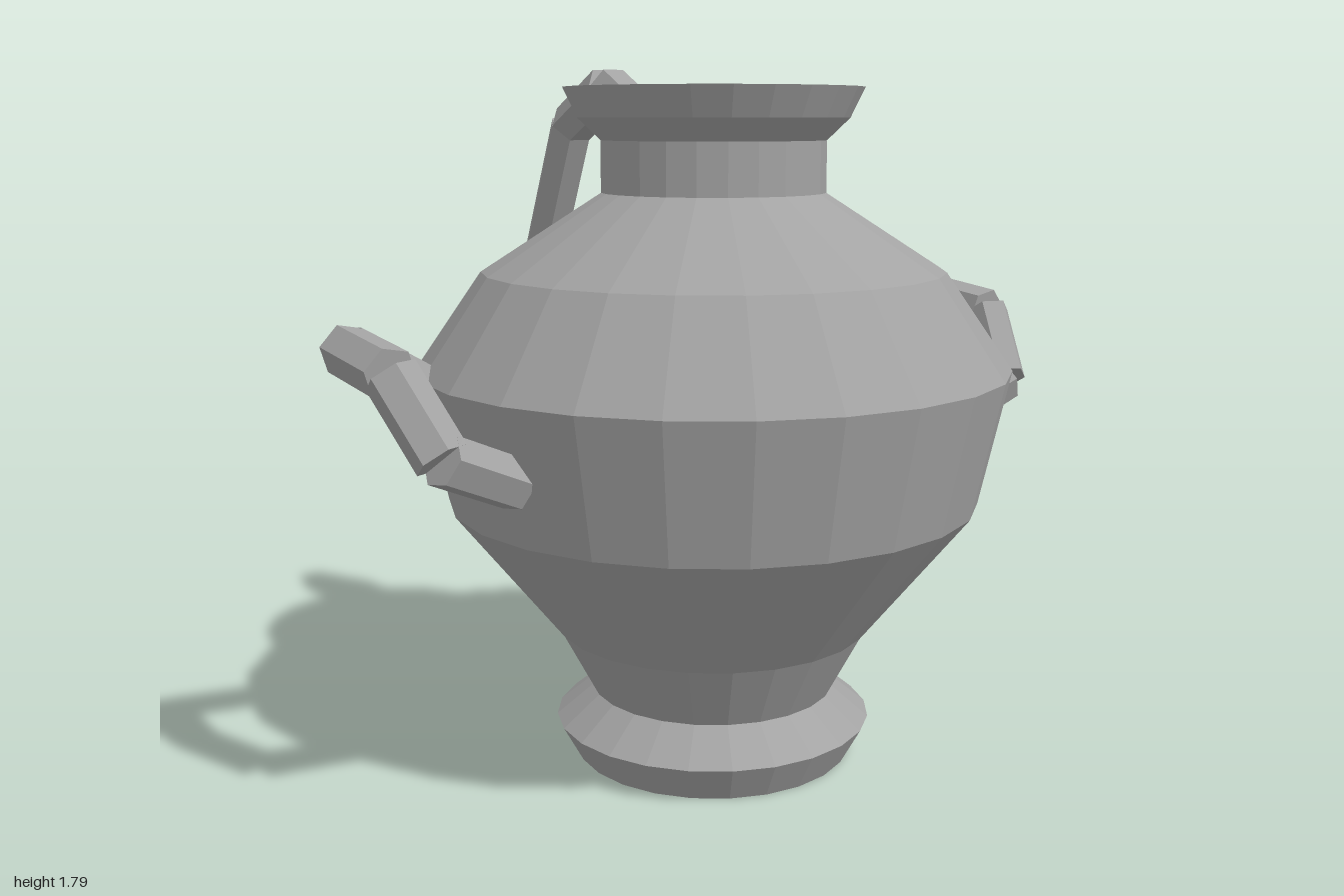
import * as THREE from 'three';

const clay = new THREE.MeshStandardMaterial({ color: 0xa3a3a3, flatShading: true });
clay.name = 'grey clay';

const BODY_Z = 0.08;
const HANDLE_RADIUS = 0.064;

// Chain of straight six-sided rods that share one bending plane
function makeHandle(name, coords) {
  const group = new THREE.Group();
  group.name = name;
  const pts = coords.map((c) => new THREE.Vector3(...c));
  const normal = new THREE.Vector3()
    .crossVectors(pts[2].clone().sub(pts[0]), pts[pts.length - 1].clone().sub(pts[0]))
    .normalize();
  for (let i = 0; i < pts.length - 1; i++) {
    const along = pts[i + 1].clone().sub(pts[i]);
    const length = along.length();
    along.normalize();
    // keep two corners of each rod on the axis across the bending plane
    const across = normal.clone().addScaledVector(along, -normal.dot(along)).normalize();
    const third = new THREE.Vector3().crossVectors(along, across);
    const rod = new THREE.Mesh(
      new THREE.CylinderGeometry(HANDLE_RADIUS, HANDLE_RADIUS, length, 6), clay);
    rod.name = 'handleRod';
    rod.quaternion.setFromRotationMatrix(new THREE.Matrix4().makeBasis(third, along, across));
    rod.position.copy(pts[i]).add(pts[i + 1]).multiplyScalar(0.5);
    group.add(rod);
  }
  return group;
}

export function createModel() {
  const model = new THREE.Group();
  model.name = 'jar';

  // Hollow body: up the outside, over the lip, down the inside to the open foot
  const profile = [
    [0.365, 0], [0.417, 0.095], [0.32, 0.175], [0.41, 0.345], [0.685, 0.69],
    [0.76, 1.035], [0.59, 1.28], [0.285, 1.475], [0.285, 1.605], [0.342, 1.66],
    [0.378, 1.735], [0.258, 1.735], [0.25, 1.45], [0.5, 1.22], [0.65, 1.02],
    [0.58, 0.74], [0.165, 0.36], [0.315, 0.175], [0.365, 0],
  ].map(([r, y]) => new THREE.Vector2(r, y));
  const body = new THREE.Mesh(new THREE.LatheGeometry(profile, 24), clay);
  body.name = 'body';
  body.position.z = BODY_Z;
  model.add(body);

  // Tall handle from the lip to the shoulder
  model.add(makeHandle('backHandle', [
    [0, 1.635, -0.21], [0, 1.74, -0.405], [0, 1.637, -0.60],
    [0, 1.22, -0.785], [0, 1.105, -0.62],
  ]));

  // Slanted carrying handles, one on each side
  for (const side of [1, -1]) {
    model.add(makeHandle(side > 0 ? 'leftHandle' : 'rightHandle', [
      [0.70, 1.0, -0.14], [0.935, 1.135, -0.085], [0.935, 1.11, 0.155],
      [0.88, 0.935, 0.28], [0.68, 0.845, 0.25],
    ].map(([x, y, z]) => [x * side, y, z])));
  }
  return model;
}
